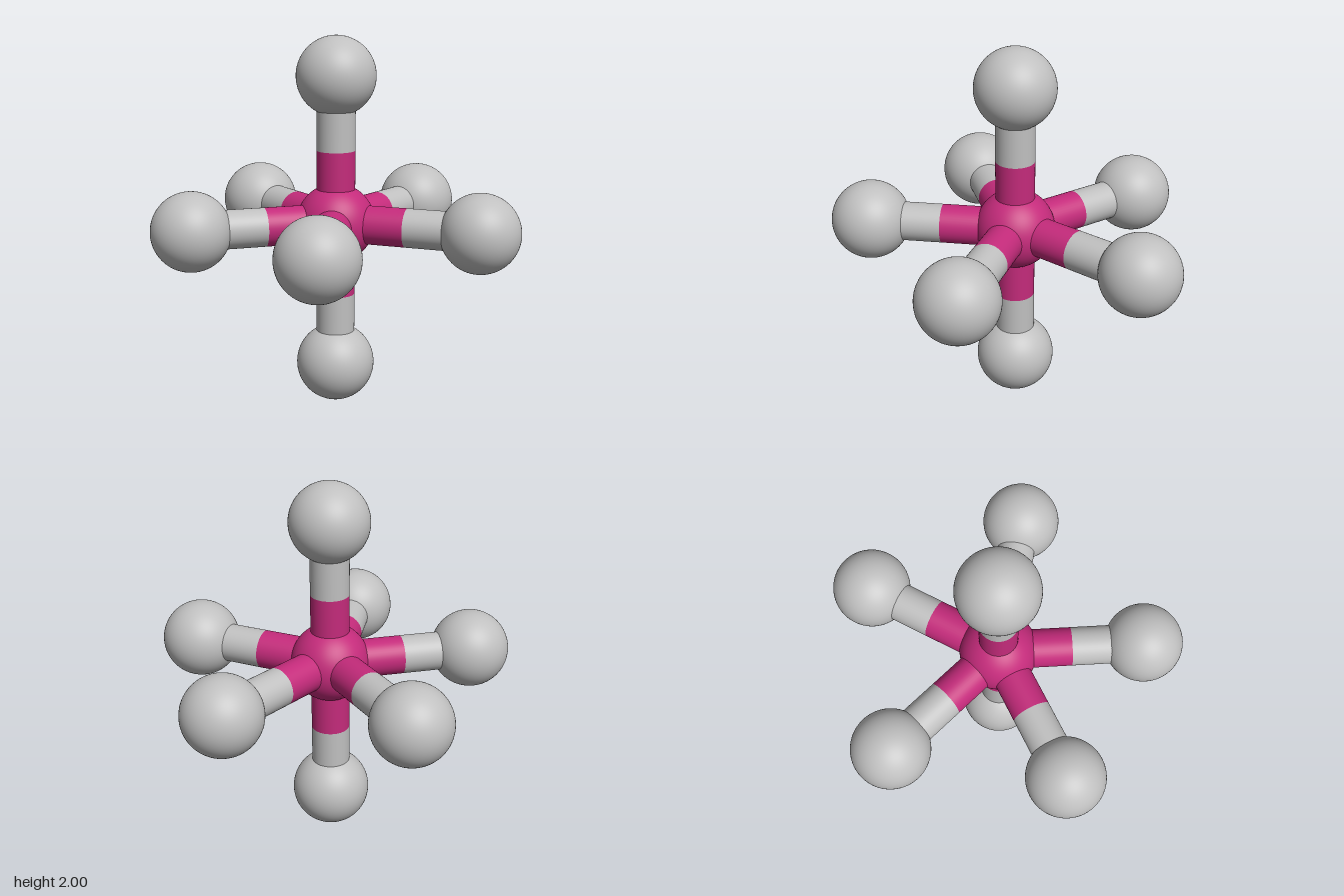
import * as THREE from 'three';

const BALL = 0.212, ROD = 0.104;

export function createModel() {
  const model = new THREE.Group();
  model.name = 'ballAndStickMolecule';

  const grey = new THREE.MeshStandardMaterial({ color: 0xc0c0c0 });
  grey.name = 'light grey';
  const magenta = new THREE.MeshStandardMaterial({ color: 0xc42b7b });
  magenta.name = 'magenta';

  const ballGeometry = new THREE.SphereGeometry(BALL, 64, 40);
  const hub = new THREE.Vector3(0.072, 1.001, 0.013);
  const up = new THREE.Vector3(0, 1, 0);

  function ball(name, position, material) {
    const mesh = new THREE.Mesh(ballGeometry, material);
    mesh.name = name;
    mesh.position.copy(position);
    return mesh;
  }

  // Straight rod between two points; its ends are buried in the balls
  function rod(name, from, to, material) {
    const along = to.clone().sub(from);
    const mesh = new THREE.Mesh(
      new THREE.CylinderGeometry(ROD, ROD, along.length(), 48, 1, true), material);
    mesh.name = name;
    mesh.position.copy(from).add(to).multiplyScalar(0.5);
    mesh.quaternion.setFromUnitVectors(up, along.normalize());
    return mesh;
  }

  model.add(ball('centralBall', hub, magenta));

  // Two vertical arms and a ring of five, each rod changing colour halfway
  const ends = {
    top: [0.072, 1.788, 0.013],
    bottom: [0.072, 0.212, 0.013],
    right: [-0.714, 1.001, 0.012],
    backRight: [-0.17, 1.001, -0.738],
    backLeft: [0.713, 1.001, -0.45],
    frontLeft: [0.713, 1.001, 0.472],
    frontRight: [-0.237, 1.001, 0.735],
  };
  for (const [side, point] of Object.entries(ends)) {
    const end = new THREE.Vector3(...point);
    const middle = hub.clone().lerp(end, 0.5);
    const arm = new THREE.Group();
    arm.name = side + 'Arm';
    arm.add(
      rod('innerRod', hub, middle, magenta),
      rod('outerRod', middle, end, grey),
      ball('outerBall', end, grey));
    model.add(arm);
  }
  return model;
}
